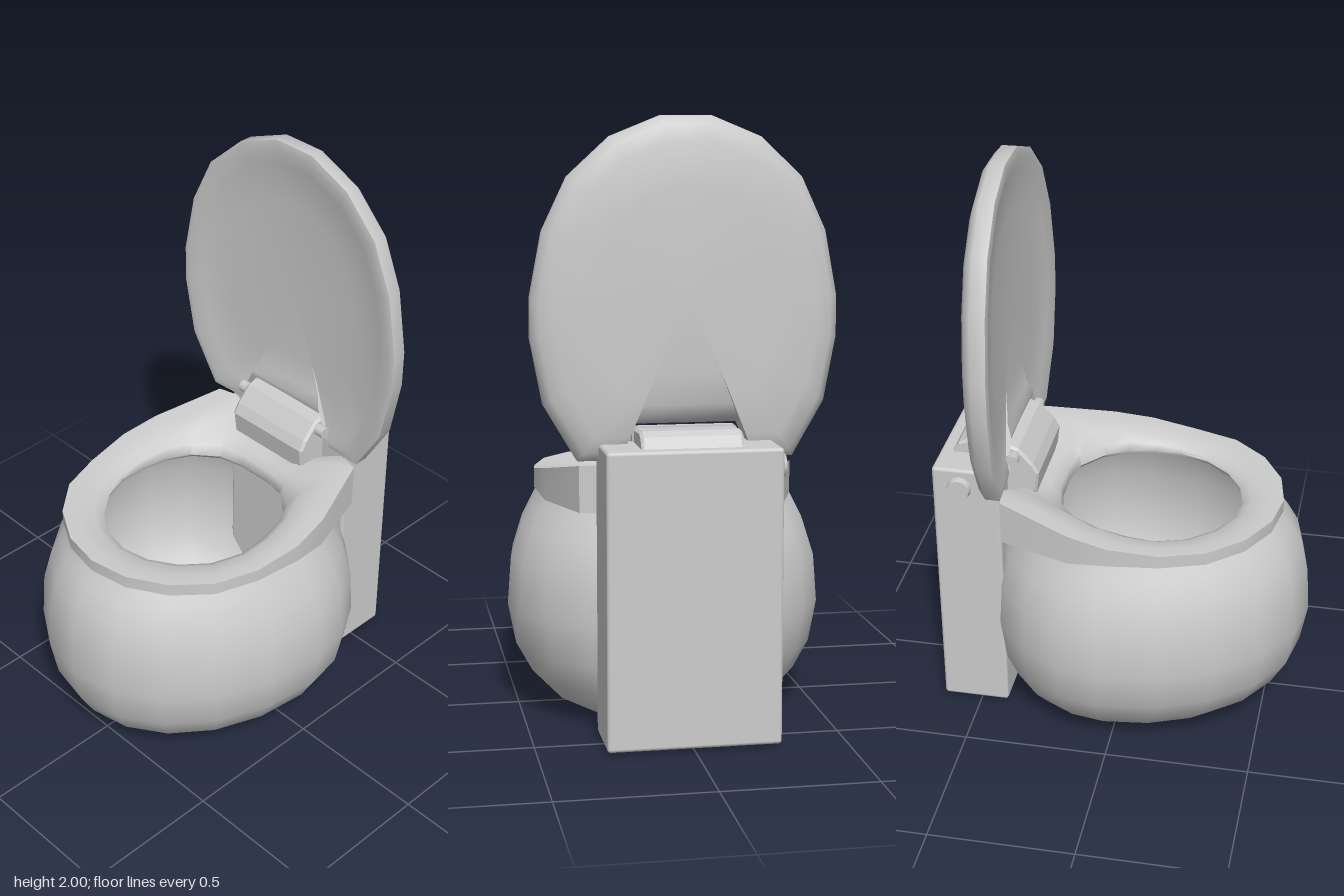
import * as THREE from 'three';
import { toCreasedNormals } from 'three/addons/utils/BufferGeometryUtils.js';
import { RoundedBoxGeometry } from 'three/addons/geometries/RoundedBoxGeometry.js';

const grey = new THREE.MeshStandardMaterial({ color: 0xcccccc });
const greyOpen = new THREE.MeshStandardMaterial({ color: 0xcccccc, side: THREE.DoubleSide });

// Skin over closed rings of [x, y, z]; optional centre points close the ends
function loft(rings, { start, end, crease = 0.9 } = {}) {
  const n = rings[0].length;
  const pos = rings.flat(2);
  const index = [];
  for (let r = 0; r < rings.length - 1; r++) {
    for (let i = 0; i < n; i++) {
      const j = (i + 1) % n;
      const a = r * n + i, b = r * n + j, c = b + n, d = a + n;
      index.push(a, b, c, a, c, d);
    }
  }
  const fan = (centre, base, flip) => {
    const k = pos.length / 3;
    pos.push(...centre);
    for (let i = 0; i < n; i++) {
      const a = base + i, b = base + (i + 1) % n;
      index.push(k, flip ? b : a, flip ? a : b);
    }
  };
  if (start) fan(start, 0, true);
  if (end) fan(end, (rings.length - 1) * n, false);
  const geo = new THREE.BufferGeometry();
  geo.setAttribute('position', new THREE.Float32BufferAttribute(pos, 3));
  geo.setIndex(index);
  return toCreasedNormals(geo, crease);
}

// Half outline (from x = 0 round to x = 0) completed by its mirror image
const mirrored = (half) => [...half, ...half.slice(1, -1).reverse().map(([x, v]) => [-x, v])];

// Side profile of [z, y] extruded across the width
function across(profile, width) {
  const shape = new THREE.Shape(profile.map(([z, y]) => new THREE.Vector2(-z, y)));
  const geo = new THREE.ExtrudeGeometry(shape, {
    depth: width - 0.02, bevelThickness: 0.01, bevelSize: 0.008, bevelOffset: -0.008, bevelSegments: 1,
  });
  geo.translate(0, 0, -width / 2 + 0.01);
  geo.rotateY(Math.PI / 2);
  return geo;
}

function bowlGeometry() {
  // y, half width, front z, back z
  const levels = [
    [0.01, 0.31, 0.38, -0.33], [0.05, 0.385, 0.48, -0.4], [0.12, 0.455, 0.56, -0.44],
    [0.22, 0.51, 0.615, -0.475], [0.36, 0.537, 0.64, -0.49], [0.52, 0.525, 0.63, -0.48],
    [0.63, 0.49, 0.605, -0.45], [0.7, 0.455, 0.565, -0.415], [0.76, 0.425, 0.52, -0.395],
  ];
  const n = 20, mid = -0.03;
  const rings = levels.map(([y, w, front, back]) => Array.from({ length: n }, (_, i) => {
    const a = (i / n) * Math.PI * 2, c = Math.cos(a);
    return [w * Math.sin(a), y, mid + c * (c > 0 ? front - mid : mid - back)];
  }));
  return loft(rings, { start: [0, 0, 0.03] });
}

function seatGeometry() {
  const outer = mirrored([[0, 0.535], [0.14, 0.51], [0.27, 0.435], [0.37, 0.32], [0.42, 0.17], [0.44, 0],
    [0.42, -0.14], [0.335, -0.385], [0.26, -0.4], [0.15, -0.4], [0, -0.4]]);
  const inner = mirrored([[0, 0.39], [0.1, 0.37], [0.19, 0.315], [0.26, 0.23], [0.295, 0.13], [0.297, 0.04],
    [0.28, -0.06], [0.235, -0.14], [0.15, -0.21], [0.06, -0.23], [0, -0.23]]);
  // Top climbs toward the back and dips under the hinge
  const top = (x, z) => z < -0.2 && Math.abs(x) < 0.2
    ? 0.83 : 0.8 + 0.09 * Math.pow(Math.max(0, 0.18 - z) / 0.57, 1.3);
  const bottom = (x, z) => (z < -0.1 ? 0.735 : 0.755);
  const ring = (t, height) => outer.map(([x, z], i) => {
    const px = x + (inner[i][0] - x) * t, pz = z + (inner[i][1] - z) * t;
    return [px, height(px, pz), pz];
  });
  return loft([
    ring(0, bottom), ring(0, top), ring(0.35, top),
    ring(0.75, (x, z) => top(x, z) - 0.01),
    ring(0.95, (x, z) => Math.min(0.8, top(x, z) - 0.025)),
    ring(1, () => 0.765), ring(0.95, () => 0.75), ring(0, bottom),
  ]);
}

function lidGeometry() {
  // Oval with a notch at the bottom for the hinge
  const half = [[0, 1.03], [0.17, 1.03], [0.22, 0.912], [0.35, 0.912], [0.455, 1.09], [0.495, 1.3], [0.495, 1.43],
    [0.455, 1.64], [0.375, 1.81], [0.24, 1.935], [0.08, 2], [0, 2]];
  const outline = mirrored(half);
  const cy = 1.45;
  const ring = (s, z) => outline.map(([x, y]) => [x * s - 0.004, cy + (y - cy) * s, z + 0.08 * x * x * s]);
  return loft([
    ring(0.6, -0.492), ring(0.85, -0.482), ring(0.95, -0.465), ring(1, -0.44),
    ring(1, -0.39), ring(0.95, -0.385), ring(0.85, -0.4), ring(0.6, -0.408),
  ], { start: [0, cy, -0.495], end: [0, cy, -0.41] });
}

export function createModel() {
  const model = new THREE.Group();
  const add = (name, geometry, material = grey, position = [0, 0, 0]) => {
    const mesh = new THREE.Mesh(geometry, material);
    mesh.name = name;
    mesh.position.set(...position);
    model.add(mesh);
    return mesh;
  };

  // Hollow bowl, open under the seat
  add('bowl', bowlGeometry(), greyOpen);
  add('seat', seatGeometry(), grey);
  add('lid', lidGeometry(), grey);

  // Tank behind the bowl, with a push button on its right side
  add('tank', new RoundedBoxGeometry(0.565, 0.96, 0.235, 2, 0.012), grey, [0, 0.49, -0.5175]);
  add('flushButton', new THREE.CylinderGeometry(0.038, 0.045, 0.03, 12), grey, [-0.289, 0.9, -0.54])
    .rotation.z = Math.PI / 2;

  // Hinge block reaching through the lid notch onto the tank
  add('hingeBlock', across([[-0.3, 0.835], [-0.29, 0.915], [-0.31, 0.95], [-0.36, 1.005], [-0.41, 1.02],
    [-0.44, 1.02], [-0.44, 0.835]], 0.34));
  add('hingeMount', across([[-0.43, 0.95], [-0.43, 1.015], [-0.54, 1.02], [-0.57, 1.005], [-0.595, 0.965]], 0.33));
  add('hingePin', new THREE.CylinderGeometry(0.022, 0.022, 0.41, 10), grey, [0, 0.975, -0.375])
    .rotation.z = Math.PI / 2;

  return model;
}
